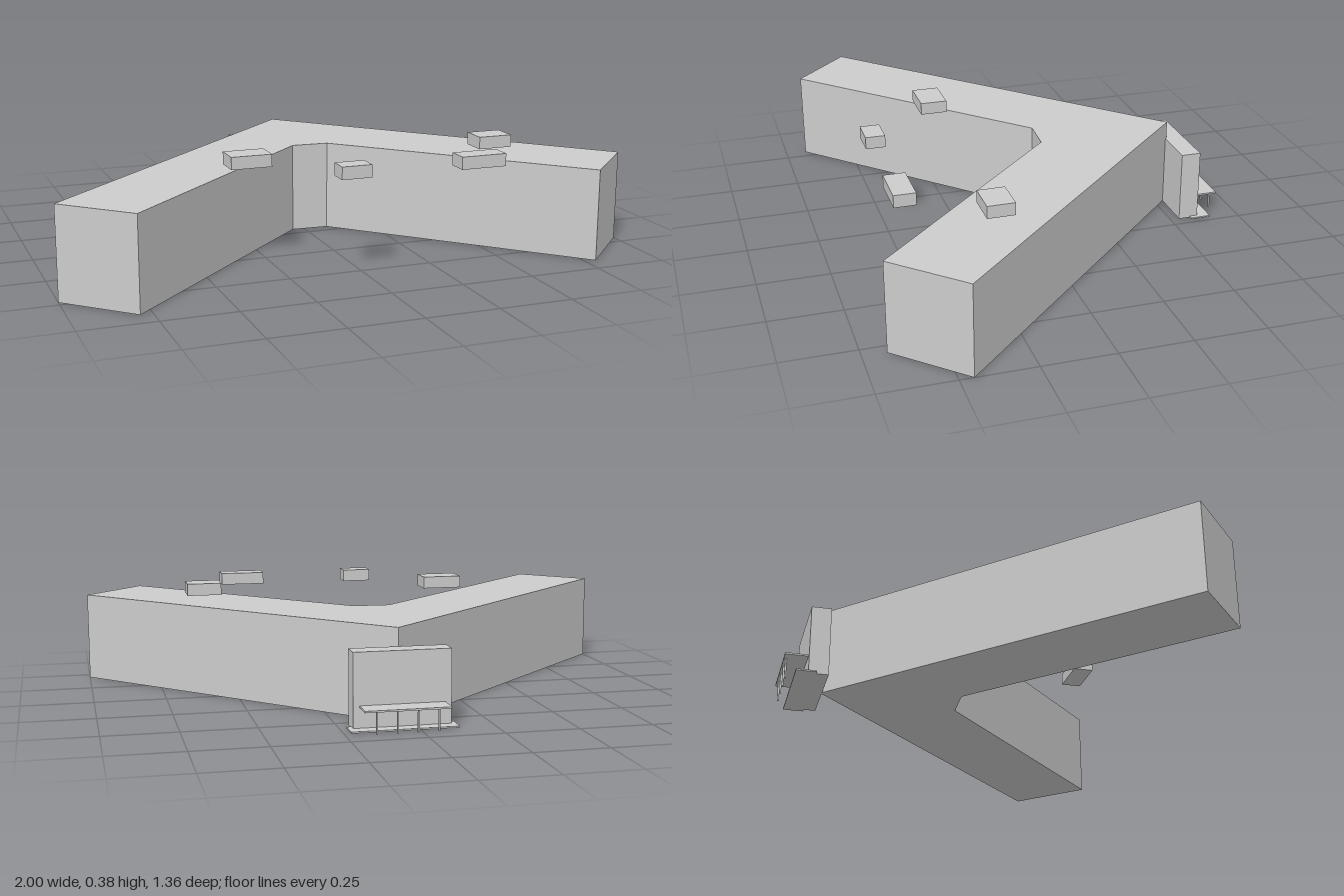
import * as THREE from 'three';

export function createModel() {
  const model = new THREE.Group();
  model.name = 'cornerBuilding';
  const grey = new THREE.MeshStandardMaterial({ color: 0xcccccc });
  grey.name = 'concrete grey';

  // Box given by its extents along each axis
  const block = (name, [x0, x1], [y0, y1], [z0, z1], parent = model) => {
    const mesh = new THREE.Mesh(new THREE.BoxGeometry(x1 - x0, y1 - y0, z1 - z0), grey);
    mesh.position.set((x0 + x1) / 2, (y0 + y1) / 2, (z0 + z1) / 2);
    mesh.name = name;
    parent.add(mesh);
  };

  // Two-winged main building, drawn as an [x, z] floor plan
  const plan = [
    [0.047, -0.538], [-1, 0.475], [-0.79, 0.675], [-0.043, -0.05],
    [0.087, -0.043], [0.79, 0.671], [1, 0.453],
  ];
  const shape = new THREE.Shape(plan.map(([x, z]) => new THREE.Vector2(x, -z)));
  const wings = new THREE.ExtrudeGeometry(shape, { depth: 0.315, bevelEnabled: false });
  wings.rotateX(-Math.PI / 2);
  const building = new THREE.Mesh(wings, grey);
  building.name = 'buildingWings';
  model.add(building);

  // Raised service units
  const units = [
    [[-0.387, -0.245], [0.217, 0.312]],
    [[-0.097, 0.007], [0.498, 0.567]],
    [[0.326, 0.487], [0.498, 0.573]],
    [[0.524, 0.647], [0.218, 0.312]],
  ];
  units.forEach(([x, z], i) => block('serviceUnit' + (i + 1), x, [0.332, 0.375], z));

  // Rear entrance: block, step, canopy and posts
  const entrance = new THREE.Group();
  entrance.name = 'entrance';
  model.add(entrance);
  block('entranceBlock', [-0.115, 0.211], [0, 0.252], [-0.602, -0.532], entrance);
  block('entranceStep', [-0.131, 0.227], [0, 0.005], [-0.646, -0.574], entrance);
  block('entranceCanopy', [-0.094, 0.19], [0.072, 0.078], [-0.682, -0.6], entrance);
  for (const dx of [-0.102, -0.034, 0.034, 0.102]) {
    const x = 0.048 + dx;
    block('canopyPost', [x - 0.003, x + 0.003], [0, 0.072], [-0.677, -0.671], entrance);
  }

  return model;
}
